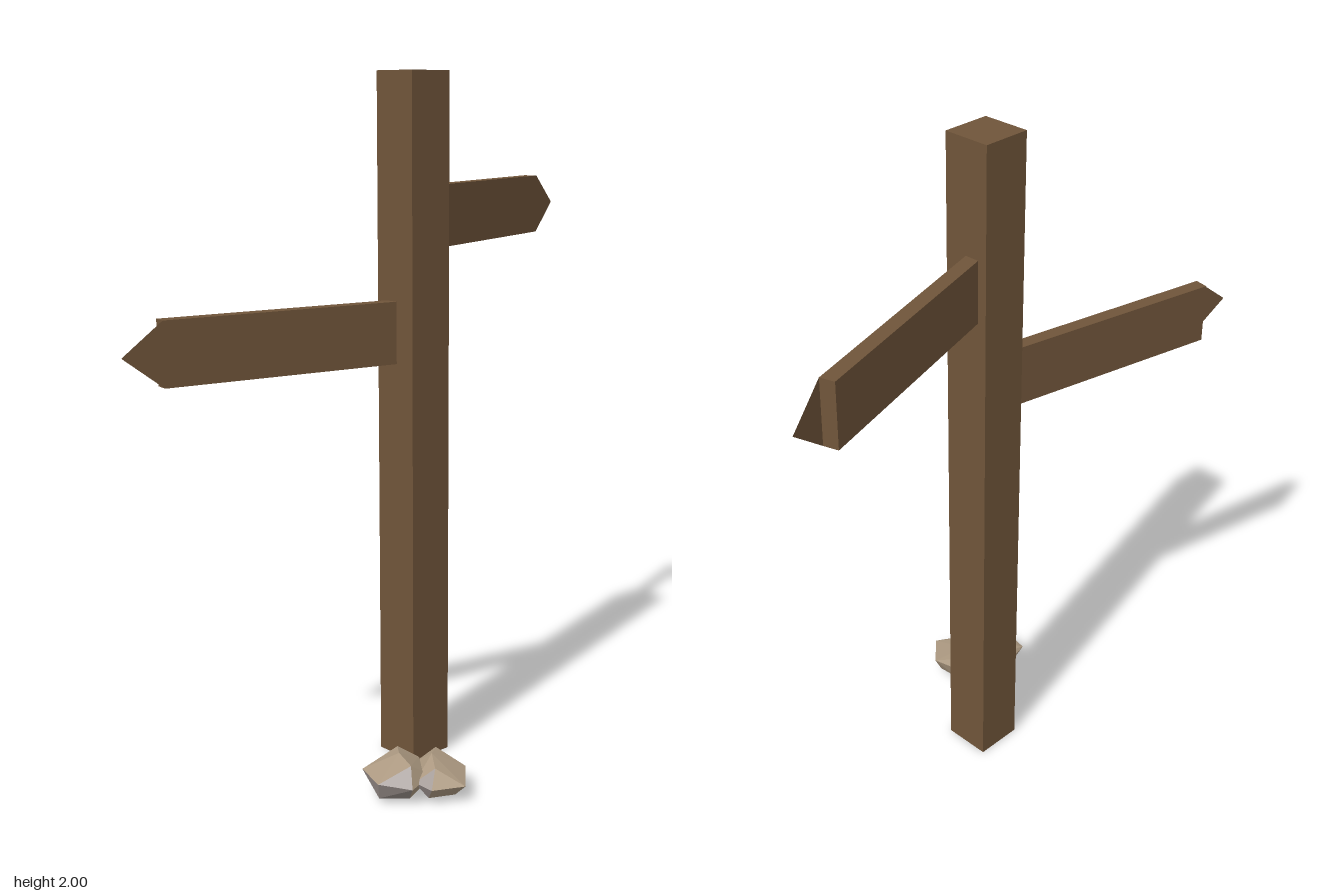
import * as THREE from 'three';
import { ConvexGeometry } from 'three/addons/geometries/ConvexGeometry.js';

const wood = new THREE.MeshStandardMaterial({ color: 0x70553a, side: THREE.DoubleSide });
wood.name = 'brown wood';
const stone = new THREE.MeshStandardMaterial({ color: 0xab9880 });
stone.name = 'tan stone';
const greyStone = new THREE.MeshStandardMaterial({ color: 0x968c88 });
greyStone.name = 'grey stone';

// A plank running out along side * x, with a flat pointed sheet on its front face
function makeBoard(name, side, { y, z, length, height, tip, swing }) {
  const thick = 0.042;
  const board = new THREE.Group();
  board.name = name;

  const plank = new THREE.Mesh(new THREE.BoxGeometry(length, height, thick), wood);
  plank.name = 'plank';
  plank.position.x = side * length / 2;

  const point = new THREE.Shape([
    new THREE.Vector2(side * length, -height / 2),
    new THREE.Vector2(side * (length + tip), 0),
    new THREE.Vector2(side * length, height / 2),
  ]);
  const arrow = new THREE.Mesh(new THREE.ShapeGeometry(point), wood);
  arrow.name = 'arrowPoint';
  arrow.position.z = thick / 2;

  board.add(plank, arrow);
  board.position.set(0, y, z);
  board.rotation.y = side * swing; // swept towards the back
  return board;
}

// A faceted rock as the hull of a few points; faces turned to -x are grey
function makeRock(name, points) {
  const geo = new ConvexGeometry(points.map((p) => new THREE.Vector3(...p)));
  const normal = geo.attributes.normal;
  for (let i = 0; i < normal.count; i += 3) {
    geo.addGroup(i, 3, normal.getX(i) < -0.5 ? 1 : 0);
  }
  const rock = new THREE.Mesh(geo, [stone, greyStone]);
  rock.name = name;
  return rock;
}

export function createModel() {
  const model = new THREE.Group();
  model.name = 'signpost';

  const post = new THREE.Mesh(new THREE.BoxGeometry(0.143, 2, 0.142), wood);
  post.name = 'post';
  post.position.set(0.0085, 1, -0.069);
  model.add(post);

  model.add(
    makeBoard('leftBoard', 1, { y: 1.593, z: -0.065, length: 0.782, height: 0.18, tip: 0.117, swing: 0.3 }),
    makeBoard('rightBoard', -1, { y: 1.276, z: -0.072, length: 0.765, height: 0.178, tip: 0.116, swing: 0.197 }),
  );

  model.add(
    makeRock('backRock', [
      // top
      [-0.23, 0.116, 0.12], [-0.19, 0.108, 0.07], [-0.25, 0.105, 0.19],
      // waist
      [-0.34, 0.066, 0.153], [-0.316, 0.075, 0.06], [-0.2, 0.06, 0.042],
      [-0.145, 0.075, 0.11], [-0.18, 0.06, 0.2], [-0.28, 0.055, 0.228],
      // base
      [-0.325, 0.016, 0.14], [-0.27, 0.016, 0.075], [-0.19, 0.016, 0.08],
      [-0.19, 0.016, 0.17], [-0.265, 0.016, 0.2],
    ]),
    makeRock('frontRock', [
      // top
      [-0.15, 0.106, 0.17], [-0.105, 0.102, 0.14], [-0.19, 0.09, 0.225],
      // waist
      [-0.088, 0.07, 0.128], [-0.072, 0.062, 0.228], [-0.153, 0.052, 0.308],
      [-0.237, 0.05, 0.26], [-0.25, 0.06, 0.205], [-0.158, 0.06, 0.107],
      // base
      [-0.1, 0.016, 0.16], [-0.095, 0.016, 0.225], [-0.155, 0.016, 0.27],
      [-0.225, 0.016, 0.235], [-0.19, 0.016, 0.15],
    ]),
  );
  return model;
}
